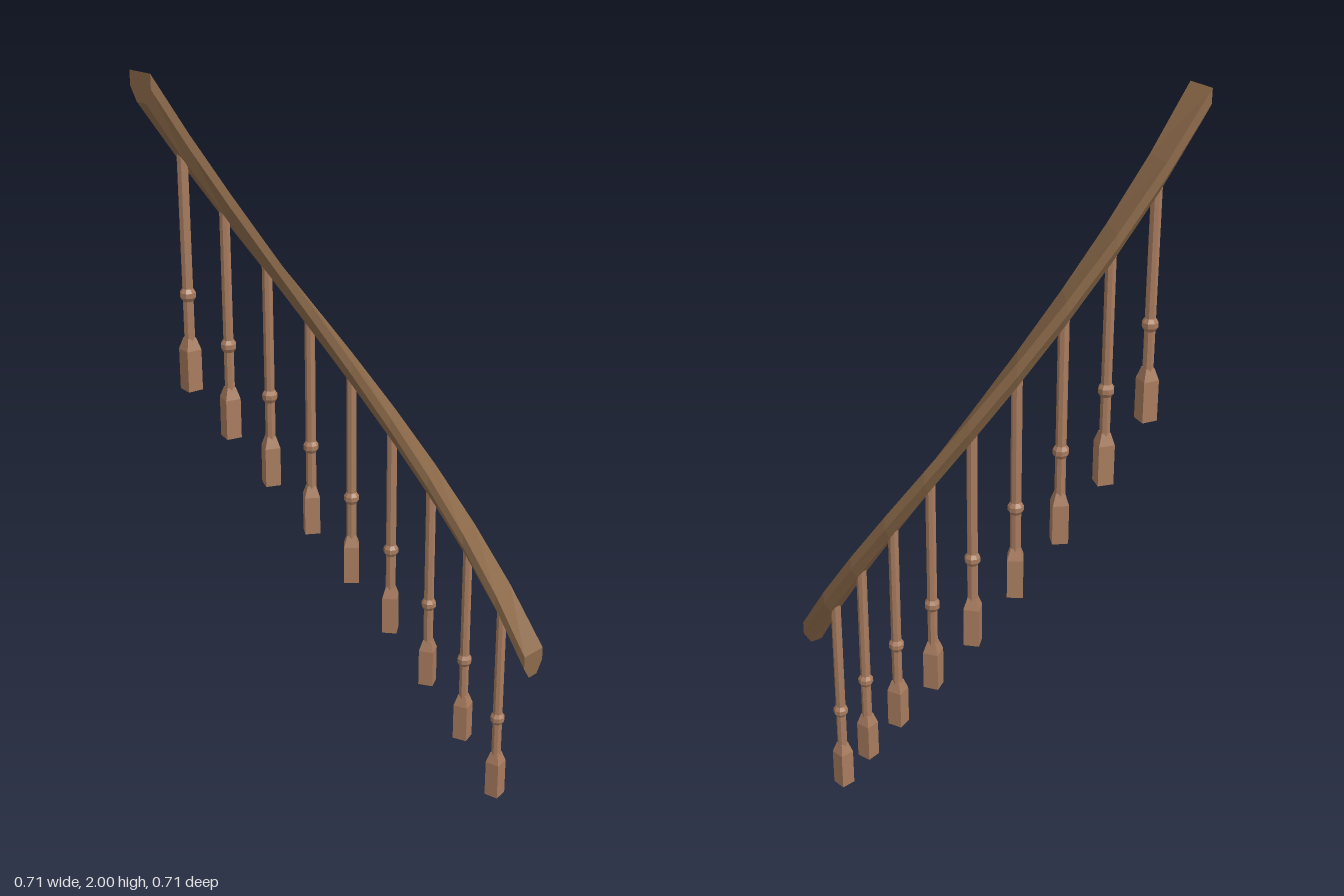
import * as THREE from 'three';

const CENTRE = 0.357;      // arc centre sits at (-CENTRE, CENTRE) in x, z
const RADIUS = 0.677;      // centreline of the handrail
const STEPS = 10;
const RISE = 0.151;        // climb per step
const RAIL_TOP = 0.49;

// Point on the climbing arc, u in steps from the bottom
function arcPoint(u, dr, y) {
  const a = (u / STEPS) * Math.PI / 2;
  const r = RADIUS + dr;
  return [r * Math.cos(a) - CENTRE, y + u * RISE, CENTRE - r * Math.sin(a)];
}

// Handrail: flat-topped section with chamfered underside, swept along the arc
function railGeometry() {
  const section = [[-0.016, -0.07], [0.016, -0.07], [0.0375, -0.036],
    [0.0375, 0], [-0.0375, 0], [-0.0375, -0.036]];
  const n = section.length;
  const pos = [];
  const index = [];
  for (let i = 0; i <= STEPS; i++) {
    for (const [dr, dy] of section) pos.push(...arcPoint(i, dr, RAIL_TOP + dy));
  }
  for (let i = 0; i < STEPS; i++) {
    for (let j = 0; j < n; j++) {
      const k = (j + 1) % n;
      const a = i * n + j, b = i * n + k, c = a + n, d = b + n;
      index.push(a, c, b, b, c, d);
    }
  }
  // end caps
  const e = STEPS * n;
  for (let j = 1; j < n - 1; j++) index.push(0, j, j + 1, e, e + j + 1, e + j);
  const g = new THREE.BufferGeometry();
  g.setAttribute('position', new THREE.Float32BufferAttribute(pos, 3));
  g.setIndex(index);
  const flat = g.toNonIndexed();
  flat.computeVertexNormals();
  return flat;
}

export function createModel() {
  const model = new THREE.Group();
  model.name = 'curvedBanister';
  const railWood = new THREE.MeshStandardMaterial({ color: 0x8c6a4a, flatShading: true });
  const postWood = new THREE.MeshStandardMaterial({ color: 0xa87c5f, flatShading: true });

  const rail = new THREE.Mesh(railGeometry(), railWood);
  rail.name = 'handrail';
  model.add(rail);

  // Shared baluster parts, standing on y = 0
  const base = new THREE.BoxGeometry(0.04, 0.105, 0.04).translate(0, 0.0525, 0);
  const shoulder = new THREE.CylinderGeometry(0.016, 0.02 * Math.SQRT2, 0.03, 4)
    .rotateY(Math.PI / 4).translate(0, 0.12, 0);
  const shaft = new THREE.CylinderGeometry(0.0135, 0.0135, 0.48, 8).translate(0, 0.355, 0);
  const bead = new THREE.LatheGeometry([[0.0135, 0.229], [0.02, 0.239], [0.02, 0.251], [0.0135, 0.261]]
    .map(([r, y]) => new THREE.Vector2(r, y)), 8);
  const parts = { base, shoulder, shaft, bead };

  // One baluster per step between the two rail ends
  for (let i = 1; i < STEPS; i++) {
    const baluster = new THREE.Group();
    baluster.name = `baluster${i}`;
    for (const [name, geometry] of Object.entries(parts)) {
      const mesh = new THREE.Mesh(geometry, postWood);
      mesh.name = name;
      baluster.add(mesh);
    }
    baluster.position.set(...arcPoint(i, 0, -RISE));
    baluster.rotation.y = (i / STEPS) * Math.PI / 2;
    model.add(baluster);
  }
  return model;
}
